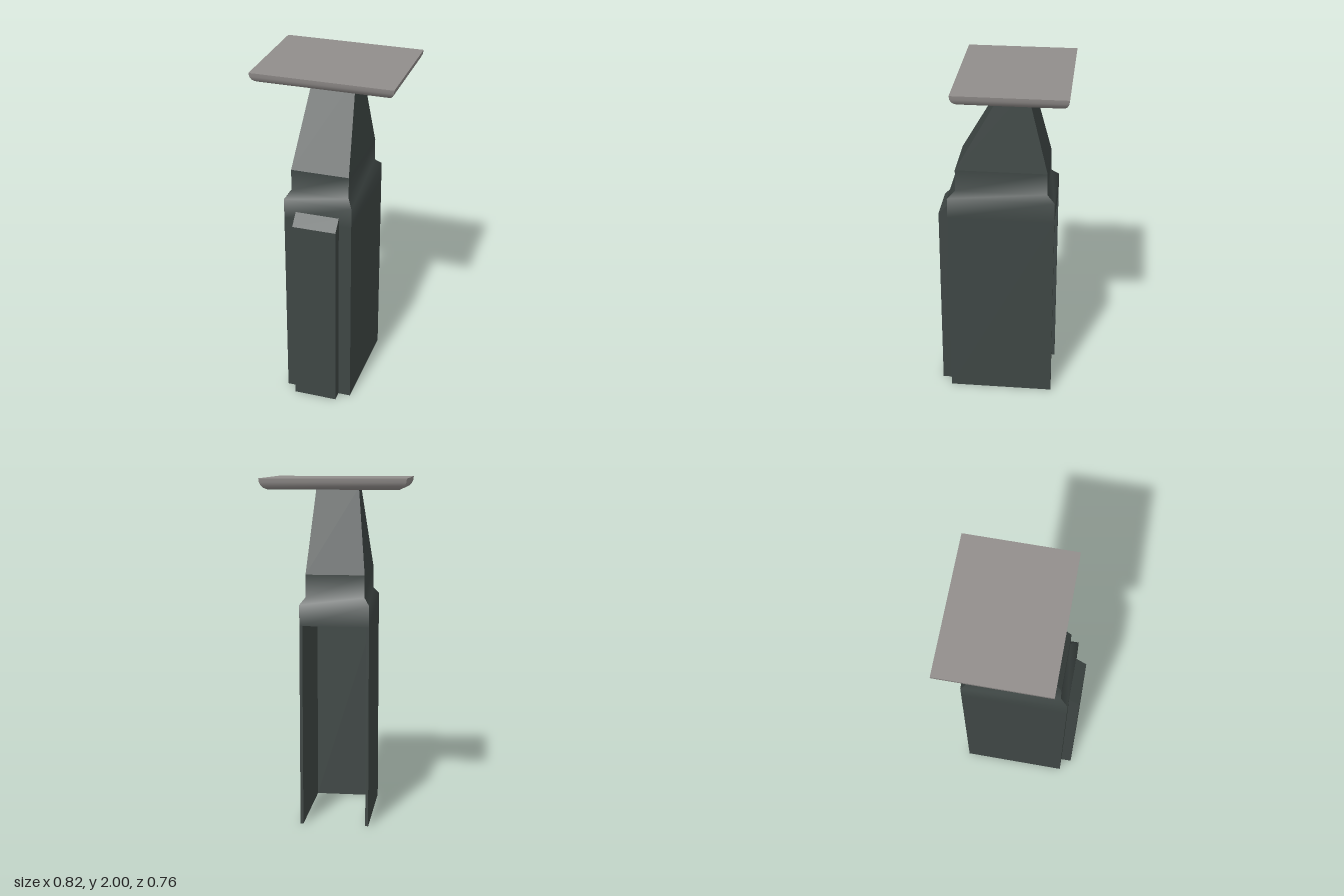
import * as THREE from 'three';
import { toCreasedNormals } from 'three/addons/utils/BufferGeometryUtils.js';

// Closed solid through rectangular rings [y, x0, x1, z0, z1], listed bottom to top
function loft(rings, crease) {
  const pos = [];
  const loops = rings.map(([y, x0, x1, z0, z1]) => [[x0, y, z1], [x1, y, z1], [x1, y, z0], [x0, y, z0]]);
  const quad = (a, b, c, d) => pos.push(...a, ...b, ...c, ...a, ...c, ...d);
  for (let r = 0; r < loops.length - 1; r++) {
    for (let i = 0; i < 4; i++) {
      const j = (i + 1) % 4;
      quad(loops[r][i], loops[r][j], loops[r + 1][j], loops[r + 1][i]);
    }
  }
  const [b, t] = [loops[0], loops[loops.length - 1]];
  quad(b[3], b[2], b[1], b[0]);
  quad(t[0], t[1], t[2], t[3]);
  const geo = new THREE.BufferGeometry();
  geo.setAttribute('position', new THREE.Float32BufferAttribute(pos, 3));
  return toCreasedNormals(geo, crease);
}

export function createModel() {
  const group = new THREE.Group();
  const bodyMat = new THREE.MeshStandardMaterial({ color: 0x3e4644 });
  bodyMat.name = 'dark green grey';
  const plateMat = new THREE.MeshStandardMaterial({ color: 0x918d8b });
  plateMat.name = 'warm grey';

  const add = (name, geo, mat = bodyMat) => {
    const mesh = new THREE.Mesh(geo, mat);
    mesh.name = name;
    group.add(mesh);
  };
  const box = (name, x0, x1, y0, y1, z0, z1) => {
    const geo = new THREE.BoxGeometry(x1 - x0, y1 - y0, z1 - z0);
    geo.translate((x0 + x1) / 2, (y0 + y1) / 2, (z0 + z1) / 2);
    add(name, geo);
  };

  // Hollow column, open at the back and the bottom
  const X0 = -0.2, X1 = 0.197, Z0 = -0.3, Z1 = 0.315, wall = 0.017, open = 1.17;
  box('rightWall', X0, X0 + wall, 0, open, Z0, Z1);
  box('leftWall', X1 - wall, X1, 0, open, Z0, Z1);
  box('frontWall', X0 + wall, X1 - wall, 0, open, Z1 - wall, Z1);

  // Solid head of the column with a softly shaded shoulder
  add('shoulder', loft([
    [open, X0, X1, Z0, Z1],
    [1.29, X0, X1, Z0, Z1],
    [1.33, -0.17, 0.167, -0.255, 0.27],
    [1.458, -0.17, 0.167, -0.255, 0.27],
  ], 0.95));

  // Tapered neck
  add('neck', loft([
    [1.458, -0.17, 0.167, -0.255, 0.27],
    [1.945, -0.123, 0.12, -0.13, -0.007],
  ], 0.1));

  // Raised front panel with a sloped top
  const panel = new THREE.Shape([[0.31, 0], [0.378, 0], [0.378, 1.157], [0.315, 1.22], [0.31, 1.22]]
    .map(([z, y]) => new THREE.Vector2(-z, y)));
  const panelGeo = new THREE.ExtrudeGeometry(panel, { depth: 0.255, bevelEnabled: false });
  panelGeo.rotateY(Math.PI / 2);
  panelGeo.translate(-0.131, 0, 0);
  add('frontPanel', panelGeo);

  // Top plate with a rounded underside edge
  const plateRings = [[1.938, 0.042], [1.947, 0.024], [1.96, 0.011], [1.978, 0.003], [2, 0]]
    .map(([y, inset]) => [y, -0.41 + inset, 0.408 - inset, -0.378 + inset, 0.256 - inset]);
  add('topPlate', loft(plateRings, 0.7), plateMat);

  return group;
}
